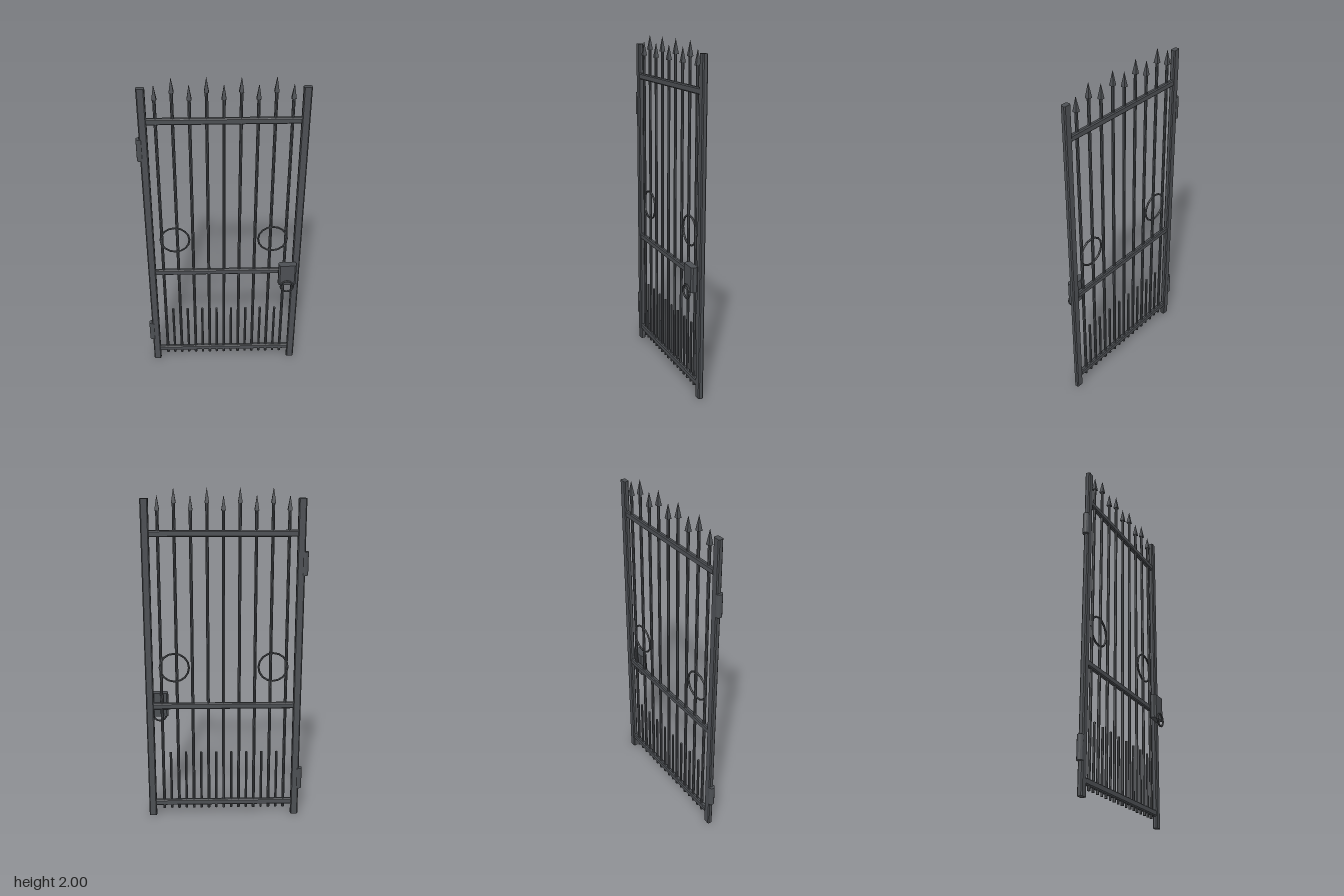
import * as THREE from 'three';

const Z = -0.026; // plane of the gate

export function createModel() {
  const gate = new THREE.Group();
  gate.name = 'gate';
  const iron = new THREE.MeshStandardMaterial({ color: 0x4c4f53, flatShading: true });

  function add(name, geometry, x, y, z = Z) {
    const mesh = new THREE.Mesh(geometry, iron);
    mesh.name = name;
    mesh.position.set(x, y, z);
    gate.add(mesh);
    return mesh;
  }

  // Bar with chamfered long edges, extruded along z and centred
  function chamferedBar(w, h, length, c) {
    const a = w / 2, b = h / 2;
    const outline = [[a - c, -b], [a, -b + c], [a, b - c], [a - c, b],
      [-a + c, b], [-a, b - c], [-a, -b + c], [-a + c, -b]];
    const shape = new THREE.Shape(outline.map(([x, y]) => new THREE.Vector2(x, y)));
    return new THREE.ExtrudeGeometry(shape, { depth: length, bevelEnabled: false })
      .translate(0, 0, -length / 2);
  }
  const upright = (w, d, h, c) => chamferedBar(w, d, h, c).rotateX(-Math.PI / 2);

  // Side posts
  for (const x of [-0.43, 0.447]) add('post', upright(0.046, 0.03, 1.94, 0.006), x, 0.97);

  // Horizontal rails
  for (const y of [1.747, 0.722, 0.085]) {
    add('rail', chamferedBar(0.026, 0.037, 0.834, 0.006).rotateY(Math.PI / 2), 0.008, y);
  }

  // Tall pickets with alternating spear heights
  const foot = 0.045, pitch = 0.092;
  for (let i = 0; i < 9; i++) {
    const x = -0.36 + i * pitch;
    const tip = i % 2 ? 2.0 : 1.96;
    const shaft = tip - 0.08 - foot;
    add('picket', new THREE.CylinderGeometry(0.009, 0.009, shaft, 8), x, foot + shaft / 2);
    add('spearhead', new THREE.ConeGeometry(0.0185, 0.085, 4).rotateY(Math.PI / 4), x, tip - 0.0425);

    // Short bars between the pickets
    if (i < 8) {
      const h = 0.42 - foot;
      add('shortBar', new THREE.CylinderGeometry(0.0075, 0.0075, h, 8), x + pitch / 2, foot + h / 2);
    }
  }

  // Decorative rings
  for (const x of [-0.283, 0.298]) {
    add('ring', new THREE.TorusGeometry(0.086, 0.006, 6, 16), x, 0.962);
  }

  // Hinge barrels
  for (const y of [1.577, 0.244]) {
    add('hinge', new THREE.CylinderGeometry(0.019, 0.019, 0.135, 12), -0.453, y);
  }

  // Lock case with its pull ring
  add('lockCase', upright(0.108, 0.042, 0.147, 0.01), 0.394, 0.722, 0.01);
  add('pullRing', new THREE.TorusGeometry(0.039, 0.006, 6, 16), 0.394, 0.642, 0.036);

  return gate;
}
